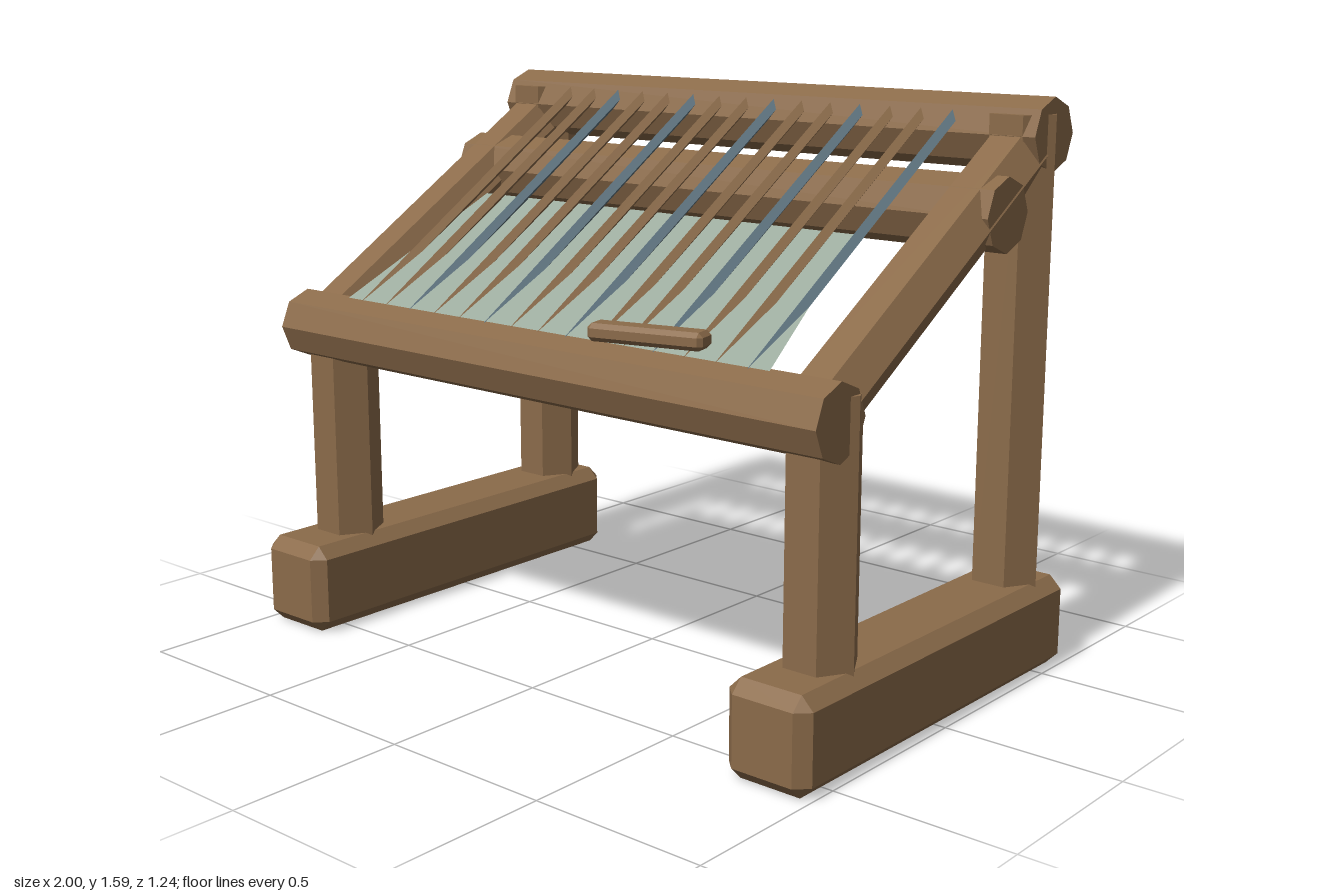
import * as THREE from 'three';
import { ConvexGeometry } from 'three/addons/geometries/ConvexGeometry.js';

const paint = (name, color, side = THREE.FrontSide) =>
  new THREE.MeshStandardMaterial({ name, color, side, flatShading: true });

export function createModel() {
  const wood = paint('wood', 0x8b6b4a);
  const slate = paint('slate', 0x5f7480);
  const gold = paint('gold', 0xc4ae66, THREE.DoubleSide);
  const cloth = paint('cloth', 0x9cab9e, THREE.DoubleSide);

  const model = new THREE.Group();
  model.name = 'loom';

  const add = (name, geometry, material, parent = model) => {
    const mesh = new THREE.Mesh(geometry, material);
    mesh.name = name;
    parent.add(mesh);
    return mesh;
  };

  // Box with every edge cut off by c
  const chamferBox = (w, h, d, c) => {
    const points = [];
    for (const sx of [-0.5, 0.5]) for (const sy of [-0.5, 0.5]) for (const sz of [-0.5, 0.5]) {
      const p = new THREE.Vector3(sx * w, sy * h, sz * d);
      const cut = new THREE.Vector3(sx, sy, sz).multiplyScalar(2 * c);
      for (const axis of ['x', 'y', 'z']) {
        const q = p.clone().sub(cut);
        q[axis] = p[axis];
        points.push(q);
      }
    }
    return new ConvexGeometry(points);
  };

  // Six-sided bar along y with its corners at +x and -x
  const hexBar = (r, length) => new THREE.CylinderGeometry(r, r, length, 6).rotateY(Math.PI / 2);

  // Group whose y axis runs along a slope between two (y, z) points
  const sloped = (name, x, y0, z0, y1, z1) => {
    const group = new THREE.Group();
    group.name = name;
    group.position.set(x, (y0 + y1) / 2, (z0 + z1) / 2);
    group.rotation.x = Math.atan2(z1 - z0, y1 - y0);
    group.userData.length = Math.hypot(y1 - y0, z1 - z0);
    model.add(group);
    return group;
  };

  // Side frames: foot, two posts and a sloping rail
  for (const [side, x] of [['right', -0.875], ['left', 0.875]]) {
    add(side + 'Foot', chamferBox(0.25, 0.26, 1.24, 0.035), wood).position.set(x, 0.13, 0);
    for (const [end, z, top] of [['Front', 0.387, 0.945], ['Back', -0.487, 1.545]]) {
      const height = top - 0.2;
      add(side + end + 'Post', hexBar(0.1, height), wood).position.set(x, 0.2 + height / 2, z);
    }
    const rail = sloped(side + 'Rail', x, 0.915, 0.387, 1.45, -0.487);
    add(side + 'RailBar', hexBar(0.09, rail.userData.length), wood, rail);

    // Gold patches on the upper outer face of one rail
    if (side === 'right') {
      for (const [along, half, height] of [[0.064, 0.065, 0.05], [-0.22, 0.09, 0.056]]) {
        const shape = new THREE.Shape().absellipse(0, 0, half, height, 0, Math.PI, false);
        const patch = add('goldPatch', new THREE.ShapeGeometry(shape, 8), gold, rail);
        const u = new THREE.Vector3(0, -1, 0);
        const v = new THREE.Vector3(0.5, 0, 0.866);
        const n = new THREE.Vector3(-0.866, 0, 0.5);
        patch.quaternion.setFromRotationMatrix(new THREE.Matrix4().makeBasis(u, v, n));
        patch.position.set(-0.09, along, 0).addScaledVector(n, 0.003);
      }
    }
  }

  // Eight-sided cross beams
  for (const [name, y, z] of [['frontBeam', 0.888, 0.446], ['middleBeam', 1.3, -0.278], ['backBeam', 1.49, -0.5]]) {
    const beam = new THREE.CylinderGeometry(0.1, 0.1, 1.925, 8).rotateZ(Math.PI / 2);
    add(name, beam, wood).position.set(0, y, z);
  }

  // Warp rods with a ridge on top; every third one is slate
  for (let i = 0; i < 15; i++) {
    const rod = sloped('warpRod', -0.703 + i * 0.1, 0.968, 0.45, 1.537, -0.44);
    const half = (start) =>
      new THREE.CylinderGeometry(0.018, 0.018, rod.userData.length, 2, 1, true, start, Math.PI);
    const isSlate = i % 3 === 2;
    add('rodLeftHalf', half(0), isSlate ? slate : wood, rod);
    add('rodRightHalf', half(Math.PI), isSlate ? slate : gold, rod);
  }

  // Woven cloth, wider at the front
  const sheet = new THREE.PlaneGeometry(1, 1);
  const corners = [[-0.685, 1.25, -0.03], [0.66, 1.25, -0.03], [-0.765, 0.985, 0.455], [0.76, 0.985, 0.455]];
  corners.forEach((c, i) => sheet.attributes.position.setXYZ(i, ...c));
  sheet.computeVertexNormals();
  add('cloth', sheet, cloth);

  // Shuttle held above the front beam
  const shuttle = add('shuttle', chamferBox(0.315, 0.046, 0.072, 0.012), wood);
  shuttle.position.set(0.445, 1.042, 0.53);
  shuttle.rotation.y = 0.25;

  return model;
}
